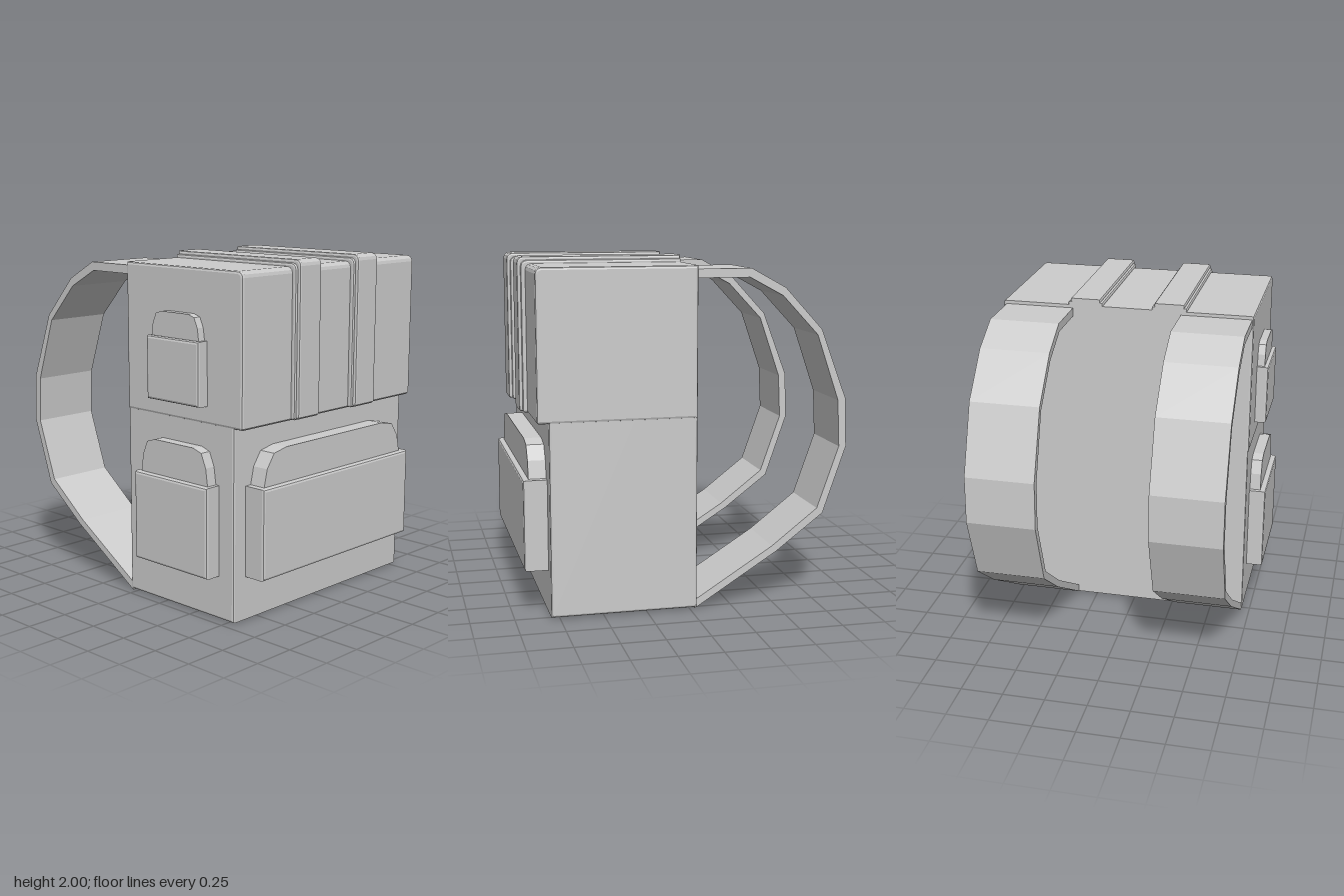
import * as THREE from 'three';

const material = new THREE.MeshStandardMaterial({ color: 0xcccccc, flatShading: true });

// Outline extruded from depth a to b, with bevelled rims that stay inside the outline
function slab(name, points, a, b, bevel = 0) {
  const shape = new THREE.Shape(points.map(([x, y]) => new THREE.Vector2(x, y)));
  const geometry = new THREE.ExtrudeGeometry(shape, {
    depth: b - a - 2 * bevel,
    bevelEnabled: bevel > 0,
    bevelThickness: bevel,
    bevelSize: bevel,
    bevelOffset: -bevel,
    bevelSegments: 2,
  });
  geometry.translate(0, 0, a + bevel);
  const mesh = new THREE.Mesh(geometry, material);
  mesh.name = name;
  return mesh;
}

// Side outline given as [z, y], extruded across x from a to b
function sideSlab(name, points, a, b, bevel) {
  const mesh = slab(name, points.map(([z, y]) => [-z, y]), a, b, bevel);
  mesh.geometry.rotateY(Math.PI / 2);
  return mesh;
}

// Box outline in [z, y] with a rounded front top edge and eased front bottom edge
function coverOutline(front, bottom, top, r) {
  const pts = [[-0.04, bottom], [front - 0.01, bottom], [front, bottom + 0.01]];
  for (let i = 0; i <= 3; i++) {
    const t = (i / 3) * Math.PI / 2;
    pts.push([front - r + r * Math.cos(t), top - r + r * Math.sin(t)]);
  }
  pts.push([-0.04, top]);
  return pts;
}

// Pocket with an arched flap behind its upper edge; z = 0 is the wall it sits on
function pocket(name, { width, bottom, rim, top, depth, flapDepth, inset, corner }) {
  const group = new THREE.Group();
  group.name = name;
  const w = width / 2, f = w - inset, h = top - rim;
  group.add(slab('pocketBag', [[-w, bottom], [w, bottom], [w, rim], [-w, rim]], -0.03, depth, 0.015));
  const half = [
    [f, rim - 0.04], [f, rim], [f - corner * 0.13, rim + h * 0.5],
    [f - corner * 0.44, rim + h * 0.9], [f - corner, top],
  ];
  const arch = [...half, ...half.map(([x, y]) => [-x, y]).reverse()];
  group.add(slab('pocketFlap', arch, -0.03, flapDepth));
  return group;
}

export function createModel() {
  const model = new THREE.Group();
  model.name = 'backpack';

  // Main bag and overhanging lid
  model.add(sideSlab('body', [[-0.04, 0.01], [0.8, 0.01], [0.8, 1.93], [-0.04, 1.93]], -0.705, 0.795, 0.013));
  model.add(sideSlab('lid', coverOutline(0.865, 1.11, 1.96, 0.035), -0.71, 0.8, 0.015));

  // Raised bands over the lid, each a wide base and a narrower top layer
  for (const x of [-0.21, 0.295]) {
    model.add(sideSlab('lidBandBase', coverOutline(0.89, 1.112, 1.98, 0.035), x - 0.105, x + 0.105, 0.012));
    model.add(sideSlab('lidBand', coverOutline(0.91, 1.118, 2, 0.035), x - 0.09, x + 0.09, 0.012));
  }

  // Shoulder straps: faceted loops behind the back
  const outer = [[-0.03, 1.94], [-0.35, 1.94], [-0.55, 1.83], [-0.77, 1.59], [-0.92, 1.19],
    [-0.93, 0.91], [-0.795, 0.52], [-0.52, 0.31], [-0.03, 0]];
  const inner = [[-0.03, 1.89], [-0.34, 1.89], [-0.535, 1.785], [-0.745, 1.56], [-0.875, 1.18],
    [-0.887, 0.91], [-0.76, 0.55], [-0.49, 0.34], [-0.03, 0.05]];
  const loop = [...outer, ...inner.reverse()];
  for (const [a, b] of [[-0.7, -0.28], [0.37, 0.78]]) {
    model.add(sideSlab('shoulderStrap', loop, a, b));
  }

  // Front pocket
  const front = pocket('frontPocket', {
    width: 1.31, bottom: 0.26, rim: 0.78, top: 0.98, depth: 0.135, flapDepth: 0.1, inset: 0.04, corner: 0.18,
  });
  front.position.set(0.045, 0, 0.8);
  model.add(front);

  // Two pockets on the right side wall
  const lower = pocket('lowerSidePocket', {
    width: 0.58, bottom: 0.26, rim: 0.78, top: 0.98, depth: 0.1, flapDepth: 0.065, inset: 0.025, corner: 0.11,
  });
  const upper = pocket('upperSidePocket', {
    width: 0.41, bottom: 1.21, rim: 1.57, top: 1.71, depth: 0.075, flapDepth: 0.05, inset: 0.02, corner: 0.08,
  });
  for (const side of [lower, upper]) {
    side.rotation.y = -Math.PI / 2;
    side.position.set(-0.705, 0, 0.4);
    model.add(side);
  }

  return model;
}
